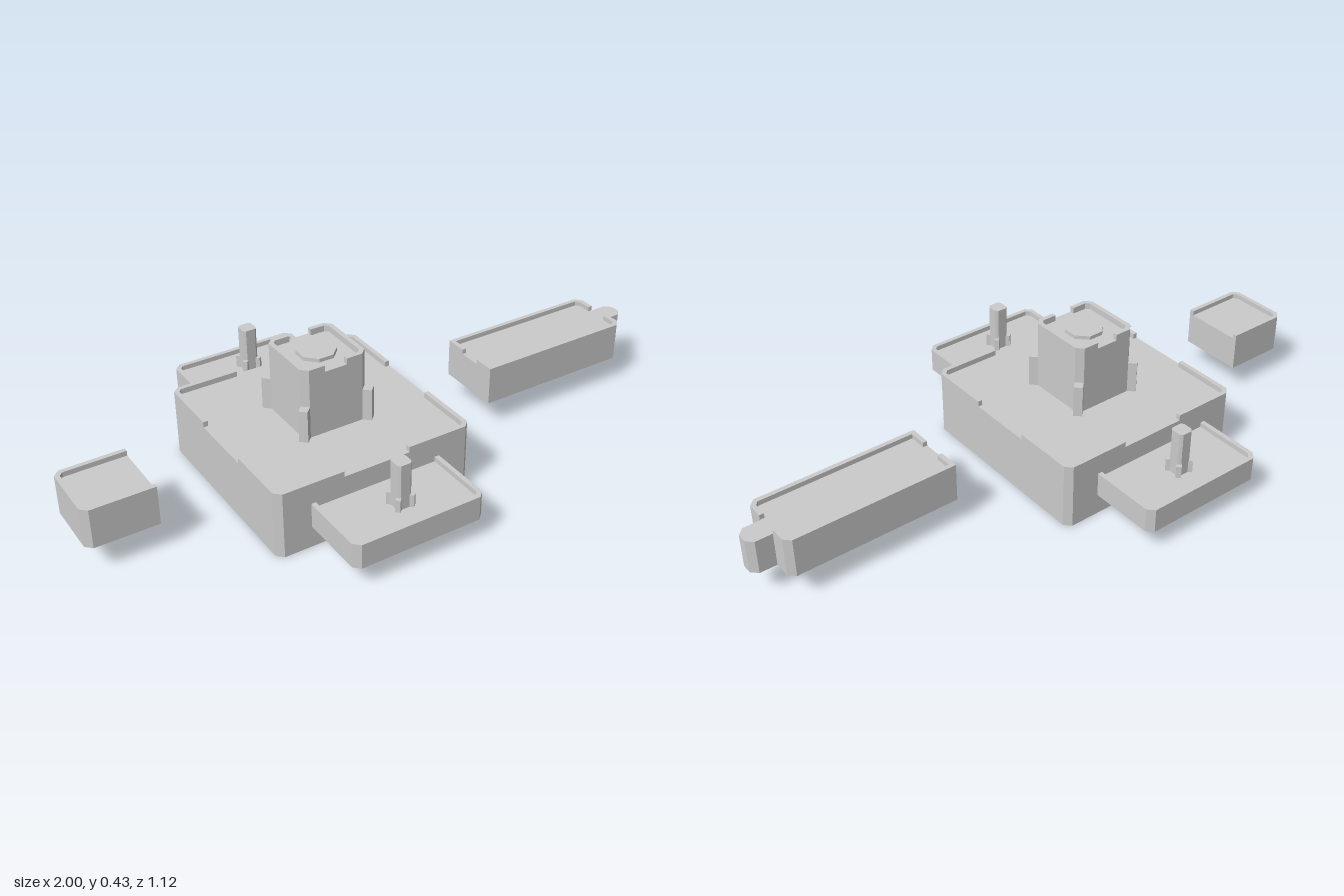
import * as THREE from 'three';

const grey = new THREE.MeshStandardMaterial({ color: 0xcccccc, flatShading: true });
const C = 0.02; // corner chamfer
const T = 0.015; // rim thickness

// Upright prism from a plan outline of [x, z] points
function prism(name, points, y0, y1) {
  const shape = new THREE.Shape(points.map(([x, z]) => new THREE.Vector2(x, -z)));
  const geo = new THREE.ExtrudeGeometry(shape, { depth: y1 - y0, bevelEnabled: false });
  geo.rotateX(-Math.PI / 2).translate(0, y0, 0);
  const mesh = new THREE.Mesh(geo, grey);
  mesh.name = name;
  return mesh;
}

// Rectangle outline; chamfers c in order (x0,z0) (x1,z0) (x1,z1) (x0,z1)
function plan(x0, x1, z0, z1, c) {
  const corners = [[x0, z0, 1, 1], [x1, z0, -1, 1], [x1, z1, -1, -1], [x0, z1, 1, -1]];
  return corners.flatMap(([x, z, dx, dz], i) => {
    if (!c[i]) return [[x, z]];
    const along = [x + dx * c[i], z], up = [x, z + dz * c[i]];
    return i % 2 ? [along, up] : [up, along];
  });
}

// Chamfered L-shaped rim at one corner (x, z); its arms run to xEnd and zEnd
function cornerRim(x, z, xEnd, zEnd, y0, y1) {
  const dx = Math.sign(xEnd - x), dz = Math.sign(zEnd - z), k = C + T * 0.414;
  return prism('cornerRim', [
    [xEnd, z], [x + dx * C, z], [x, z + dz * C], [x, zEnd],
    [x + dx * T, zEnd], [x + dx * T, z + dz * k], [x + dx * k, z + dz * T], [xEnd, z + dz * T],
  ], y0, y1);
}

// Four small diamond buttresses around (cx, cz)
function buttresses(cx, cz, offset, r, y0, y1) {
  const group = new THREE.Group();
  group.name = 'buttresses';
  for (const sx of [-1, 1]) for (const sz of [-1, 1]) {
    const x = cx + sx * offset, z = cz + sz * offset;
    group.add(prism('buttress', [[x - r, z], [x, z - r], [x + r, z], [x, z + r]], y0, y1));
  }
  return group;
}

function part(name, ...meshes) {
  const group = new THREE.Group();
  group.name = name;
  group.add(...meshes);
  return group;
}

export function createModel() {
  const model = new THREE.Group();
  model.name = 'fortModel';
  const cx = -0.2;
  const all = [C, C, C, C];

  // Main platform with a rim broken in the middle of each side
  const platform = part('platform', prism('platformBase', plan(-0.53, 0.13, -0.33, 0.33, all), 0, 0.2));
  // Central tower with a notched parapet and a raised disc
  const tower = part('tower',
    prism('towerBody', plan(-0.31, -0.09, -0.11, 0.11, all), 0.2, 0.408),
    buttresses(cx, 0, 0.11, 0.02, 0.2, 0.305));
  for (const sx of [-1, 1]) {
    for (const sz of [-1, 1]) {
      platform.add(cornerRim(cx + sx * 0.33, sz * 0.33, cx + sx * 0.11, sz * 0.11, 0.2, 0.218));
      tower.add(cornerRim(cx + sx * 0.11, sz * 0.11, cx + sx * 0.037, 0, 0.408, 0.428));
    }
  }
  const disc = new THREE.Mesh(new THREE.CylinderGeometry(0.062, 0.062, 0.012, 8), grey);
  disc.geometry.rotateY(Math.PI / 8);
  disc.position.set(cx, 0.414, 0);
  disc.name = 'towerDisc';
  tower.add(disc);
  model.add(platform, tower);

  // Front and back wings, each with a slim post
  for (const s of [1, -1]) {
    const z0 = s * 0.33, z1 = s * 0.56, pz = s * 0.448;
    const chamfers = s > 0 ? [0, 0, C, C] : [C, C, 0, 0];
    const wing = part(s > 0 ? 'frontWing' : 'backWing',
      prism('wingBase', plan(-0.42, 0.015, Math.min(z0, z1), Math.max(z0, z1), chamfers), 0.07, 0.134),
      cornerRim(-0.42, z1, cx, z0, 0.134, 0.15),
      cornerRim(0.015, z1, cx, z0, 0.134, 0.15),
      prism('post', plan(cx - 0.024, cx + 0.024, pz - 0.024, pz + 0.024, [0.008, 0.008, 0.008, 0.008]), 0.134, 0.283),
      buttresses(cx, pz, 0.023, 0.011, 0.134, 0.175));
    model.add(wing);
  }

  // Detached short block, open on its inner end
  const block = part('endBlock', prism('blockBase', plan(-1, -0.78, -0.11, 0.11, [C, 0, 0, C]), 0.09, 0.202));
  // Detached long arm with a nose and a gap in the rim at each end
  const arm = part('arm',
    prism('armBase', plan(0.37, 0.925, -0.11, 0.11, [0, C, C, 0]), 0.09, 0.202),
    prism('nose', plan(0.915, 1, -0.036, 0.036, [0, C, C, 0]), 0.09, 0.202));
  for (const s of [-1, 1]) {
    block.add(cornerRim(-1, s * 0.11, -0.78, 0, 0.202, 0.218));
    arm.add(cornerRim(0.925, s * 0.11, 0.37, s * 0.038, 0.202, 0.218));
    const a = s * 0.038, b = s * (0.11 - T);
    arm.add(prism('innerRim', [[0.37, a], [0.37 + T, a], [0.37 + T, b], [0.37, b]], 0.202, 0.218));
  }
  model.add(block, arm);
  return model;
}
